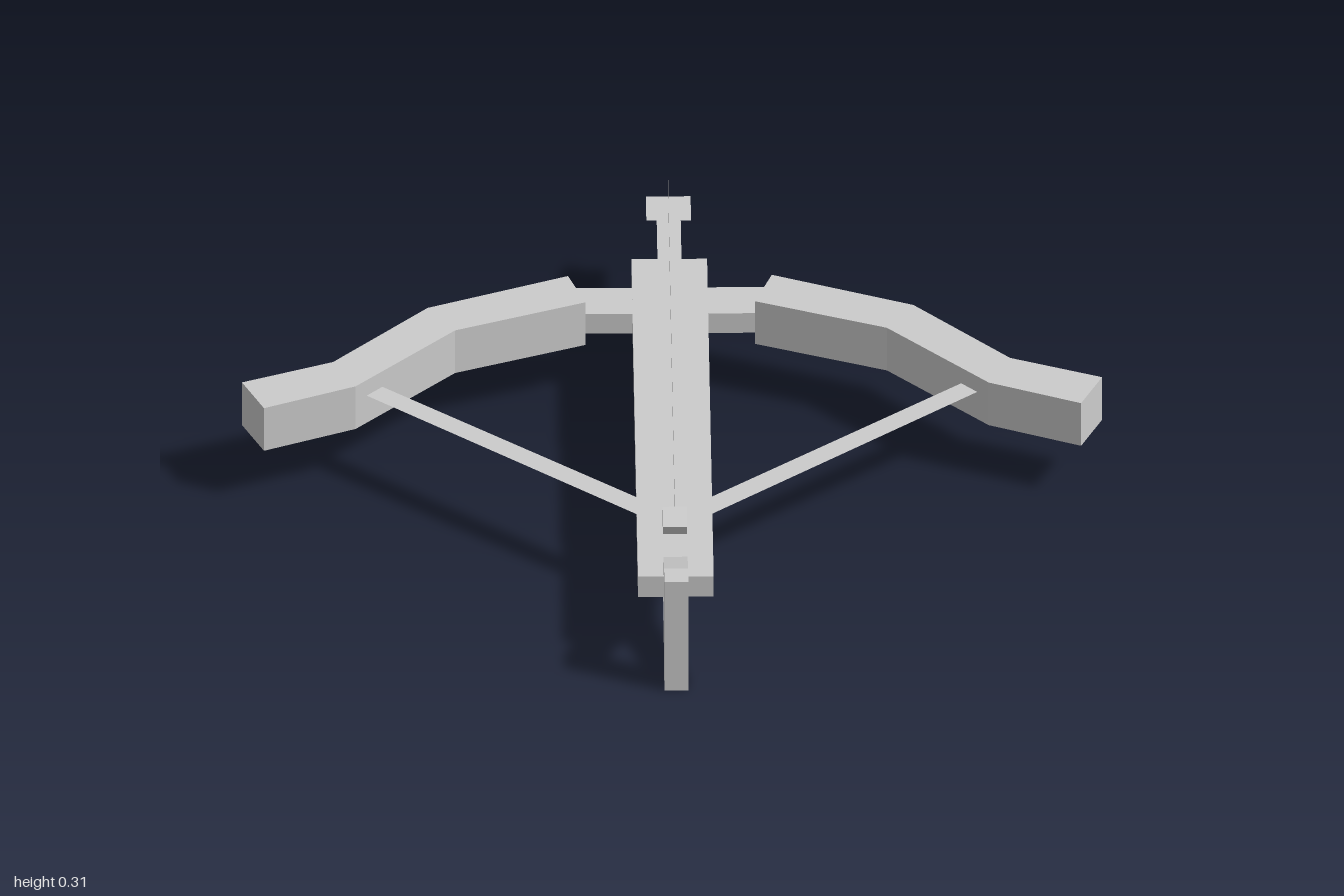
import * as THREE from 'three';

export function createModel() {
  const root = new THREE.Group();
  const mat = new THREE.MeshStandardMaterial({ color: 0xcccccc, flatShading: true });
  const thin = new THREE.MeshStandardMaterial({ color: 0xcccccc, flatShading: true, side: THREE.DoubleSide });

  const add = (name, geo, parent = root, material = mat) => {
    const mesh = new THREE.Mesh(geo, material);
    mesh.name = name;
    parent.add(mesh);
    return mesh;
  };
  const box = (name, x, y, z, px, py, pz) => {
    const mesh = add(name, new THREE.BoxGeometry(x, y, z));
    mesh.position.set(px, py, pz);
    return mesh;
  };
  const vectors = (pts) => pts.map(([a, b]) => new THREE.Vector2(a, b));

  // Rail and the crosspiece that carries the limbs
  box('rail', 0.176, 0.056, 1.36, 0, 0.198, 0.04);
  box('crosspiece', 0.44, 0.054, 0.112, 0, 0.198, -0.463);

  // Bow limbs: outline in plan (x, z), extruded upward and mirrored
  const limbPlan = [
    [0.237, -0.52], [0.565, -0.387], [0.787, -0.158], [1.0, -0.073],
    [0.95, 0.038], [0.736, -0.053], [0.502, -0.29], [0.197, -0.407],
  ];
  // Flat bowstring halves, running from the limb to the rail
  const stringPlan = [[0.695, -0.135], [0.732, -0.098], [0.03, 0.483], [0.03, 0.409]];

  for (const [side, s] of [['left', 1], ['right', -1]]) {
    const plan = (pts) => new THREE.Shape(vectors(pts.map(([x, z]) => [s * x, -z])));
    const limb = new THREE.ExtrudeGeometry(plan(limbPlan), { depth: 0.118, bevelEnabled: false });
    limb.rotateX(-Math.PI / 2).translate(0, 0.14, 0);
    add(side + 'Limb', limb);

    const string = new THREE.ShapeGeometry(plan(stringPlan));
    string.rotateX(-Math.PI / 2).translate(0, 0.215, 0);
    add(side + 'String', string, root, thin);
  }

  // Shoulder stock: side outline (z, y) with the opening under the rail
  const stock = new THREE.Shape(vectors([
    [0.858, 0], [0.858, 0.3], [0.8, 0.3], [0.6, 0.21], [0.41, 0.175], [0.8, 0],
  ]));
  stock.holes.push(new THREE.Path(vectors([[0.8, 0.062], [0.8, 0.24], [0.7, 0.2], [0.5, 0.19]])));
  const stockGeo = new THREE.ExtrudeGeometry(stock, { depth: 0.056, bevelEnabled: false });
  stockGeo.translate(0, 0, -0.028).rotateY(-Math.PI / 2);
  add('stock', stockGeo);

  // Slanted trigger lever passing through the rail
  box('trigger', 0.056, 0.226, 0.057, 0, 0.16, 0.478).rotation.x = 0.41;

  // Bolt made of crossed flat vanes: shaft, head and tail
  const bolt = new THREE.Group();
  bolt.name = 'bolt';
  bolt.position.y = 0.257;
  root.add(bolt);
  const parts = [['shaft', 0.056, -0.757, 0.398], ['head', 0.104, -0.86, -0.757], ['tail', 0.104, 0.398, 0.5]];
  for (const [name, width, z0, z1] of parts) {
    for (const turn of [0, Math.PI / 2]) {
      const vane = new THREE.PlaneGeometry(width, z1 - z0);
      vane.rotateX(-Math.PI / 2).rotateZ(turn).translate(0, 0, (z0 + z1) / 2);
      add(name + (turn ? 'Upright' : 'Flat'), vane, bolt, thin);
    }
  }

  return root;
}
